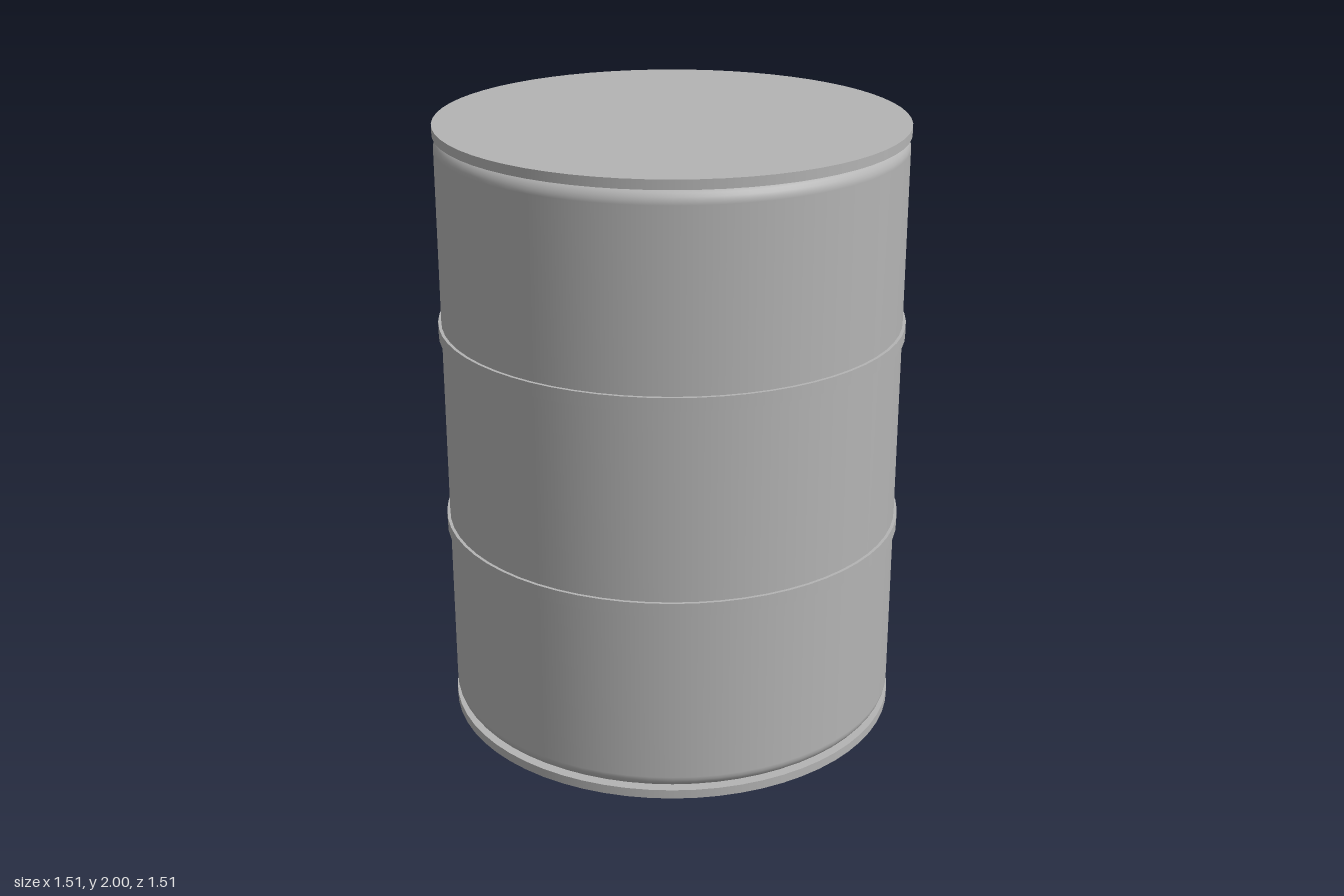
import * as THREE from 'three';

export function createModel() {
  const model = new THREE.Group();
  model.name = 'drum';
  const steel = new THREE.MeshStandardMaterial({ color: 0xb4b4b4 });
  steel.name = 'grey steel';
  const sides = 64;

  function add(name, geometry, y = 0) {
    const mesh = new THREE.Mesh(geometry, steel);
    mesh.name = name;
    mesh.position.y = y;
    model.add(mesh);
  }

  // Body: straight wall with rounded shoulders, tucked in under the rims
  const radius = 0.745, bottom = 0.03, top = 1.97, round = 0.045, steps = 6;
  const profile = [];
  for (let i = 0; i <= steps; i++) {
    const a = (i / steps) * Math.PI / 2;
    profile.push(new THREE.Vector2(radius - round + round * Math.sin(a), bottom + round - round * Math.cos(a)));
  }
  for (let i = 0; i <= steps; i++) {
    const a = (i / steps) * Math.PI / 2;
    profile.push(new THREE.Vector2(radius - round + round * Math.cos(a), top - round + round * Math.sin(a)));
  }
  add('body', new THREE.LatheGeometry(profile, sides));

  // Flat end discs that form the rims
  const rim = new THREE.CylinderGeometry(0.748, 0.748, 0.03, sides);
  add('bottomRim', rim, 0.015);
  add('topRim', rim, 1.985);

  // Rolling hoops around the wall
  const hoop = new THREE.CylinderGeometry(0.755, 0.755, 0.043, sides);
  add('lowerHoop', hoop, 0.67);
  add('upperHoop', hoop, 1.335);

  return model;
}
